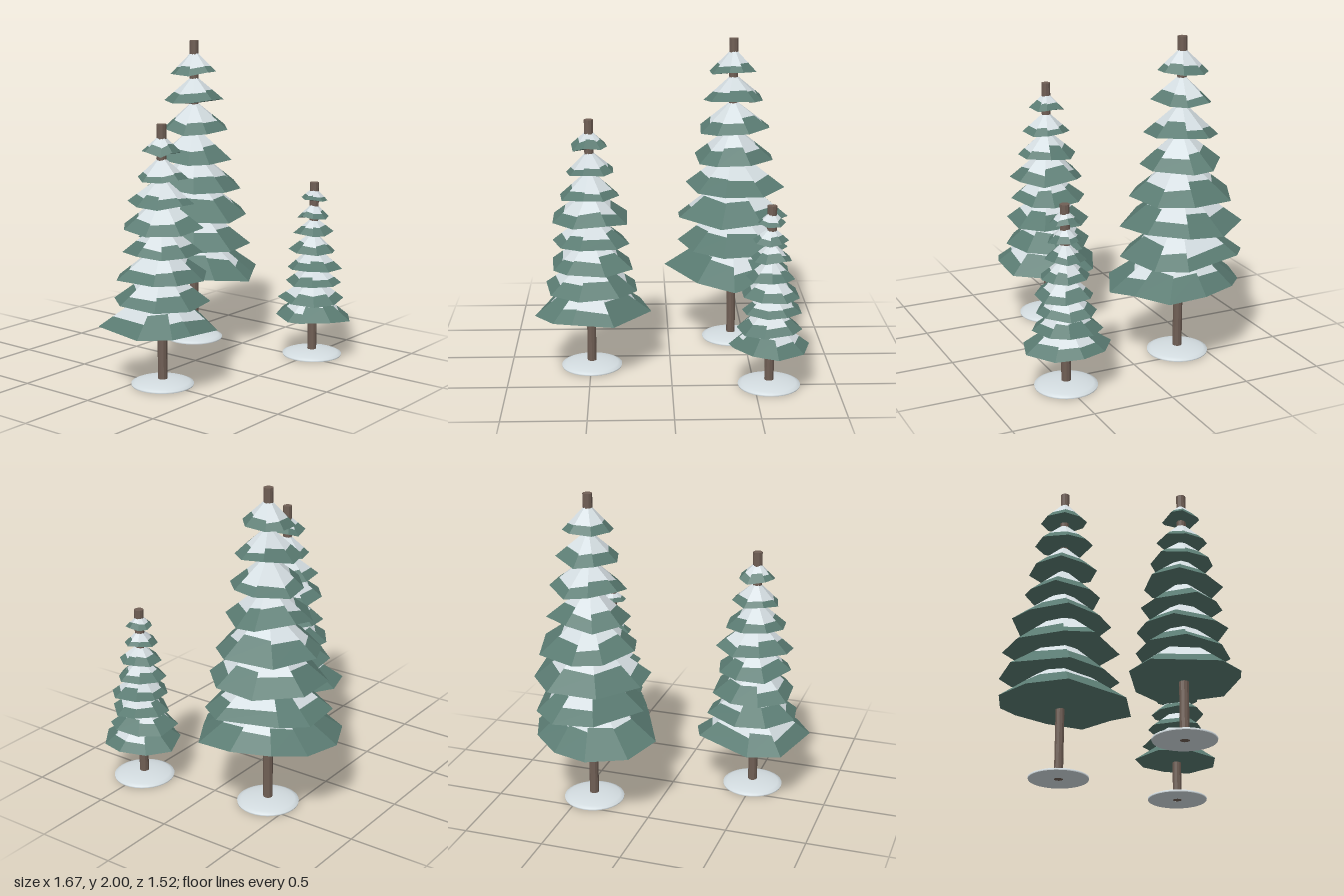
import * as THREE from 'three';

const needleGreen = new THREE.MeshStandardMaterial({ color: 0x5a7b72 });
const snowWhite = new THREE.MeshStandardMaterial({ color: 0xd3dce0 });
const barkBrown = new THREE.MeshStandardMaterial({ color: 0x705f55 });
needleGreen.name = 'needleGreen';
snowWhite.name = 'snowWhite';
barkBrown.name = 'barkBrown';

function seededRandom(seed) {
  let s = seed;
  return () => {
    s = (s * 16807) % 2147483647;
    return s / 2147483647;
  };
}

// Irregular octagon reaching about the given radius on each side
function makeOutline(radius, random) {
  const points = [];
  const turn = random() * 0.6;
  for (let i = 0; i < 8; i++) {
    const a = (i + turn + (random() - 0.5) * 0.4) * Math.PI / 4;
    const r = 0.9 + 0.1 * random();
    points.push(new THREE.Vector2(Math.cos(a) * r, Math.sin(a) * r));
  }
  const box = new THREE.Box2().setFromPoints(points);
  const reach = () => radius * (0.94 + 0.12 * random());
  const [left, right, front, back] = [reach(), reach(), reach(), reach()];
  return points.map(({ x, y }) => [
    x > 0 ? x * right / box.max.x : -x * left / box.min.x,
    y > 0 ? y * front / box.max.y : -y * back / box.min.y,
  ]);
}

function facetedMesh(name, corners, material) {
  const geometry = new THREE.BufferGeometry().setFromPoints(corners);
  geometry.computeVertexNormals();
  const mesh = new THREE.Mesh(geometry, material);
  mesh.name = name;
  return mesh;
}

// One tier of branches: snowy top, green lower band, green underside
function makeTier(outline, level, step, random) {
  const mean = outline.reduce((sum, [x, z]) => sum + Math.hypot(x, z), 0) / outline.length;
  const apex = new THREE.Vector3(0, level + mean * 0.65 + step * 0.34, 0);
  const under = new THREE.Vector3(0, level, 0);
  const rim = outline.map(([x, z]) => new THREE.Vector3(x, level + step * 0.2 * random(), z));
  const snow = [];
  const green = [];
  rim.forEach((p, i) => {
    const q = rim[(i + 1) % rim.length];
    const t = 0.55 + 0.24 * random();
    const pm = apex.clone().lerp(p, t);
    const qm = apex.clone().lerp(q, t + (random() - 0.5) * 0.08);
    snow.push(apex, qm, pm);
    green.push(pm, qm, q, pm, q, p, under, p, q);
  });
  const tier = new THREE.Group();
  tier.name = 'branchTier';
  tier.add(facetedMesh('branches', green, needleGreen), facetedMesh('branchSnow', snow, snowWhite));
  return tier;
}

// skirt: outline [x, z] of the lowest tier; radii: the tiers above it
function makeTree({ name, x, z, height, first, step, seed, skirt, radii }) {
  const random = seededRandom(seed * 7919);
  const tree = new THREE.Group();
  tree.name = name;
  tree.position.set(x, 0, z);

  // Trunk runs through to the top
  const trunk = new THREE.Mesh(
    new THREE.CylinderGeometry(0.029, 0.029, height, 10).toNonIndexed(), barkBrown);
  trunk.geometry.computeVertexNormals();
  trunk.position.y = height / 2;
  trunk.name = 'trunk';
  tree.add(trunk);

  // Low mound of snow around the foot
  const profile = [[0.188, 0], [0.19, 0.01], [0.165, 0.02], [0.12, 0.029], [0.07, 0.035], [0.02, 0.037]]
    .map(p => new THREE.Vector2(...p));
  const mound = new THREE.Mesh(new THREE.LatheGeometry(profile, 32), snowWhite);
  mound.name = 'snowMound';
  const base = new THREE.Mesh(new THREE.RingGeometry(0.028, 0.188, 32).rotateX(Math.PI / 2), snowWhite);
  base.name = 'snowMoundBase';
  tree.add(mound, base);

  // Branch tiers, lowest first
  const outlines = [skirt, ...radii.map(r => makeOutline(r, random))];
  outlines.forEach((outline, i) => tree.add(makeTier(outline, first + i * step, step, random)));
  return tree;
}

export function createModel() {
  const model = new THREE.Group();
  model.name = 'snowyTrees';
  model.add(makeTree({
    name: 'mediumTree', x: -0.495, z: 0.145, height: 1.58, first: 0.355, step: 0.149, seed: 7,
    skirt: [[0.375, 0], [0.145, 0.305], [-0.11, 0.31], [-0.225, 0.265], [-0.345, 0.1],
      [-0.25, -0.29], [-0.05, -0.35], [0.305, -0.19]],
    radii: [0.275, 0.252, 0.238, 0.23, 0.192, 0.147, 0.11],
  }));
  model.add(makeTree({
    name: 'tallTree', x: 0.415, z: -0.345, height: 2, first: 0.455, step: 0.189, seed: 23,
    skirt: [[0.37, 0.01], [0.36, 0.25], [0.15, 0.375], [-0.01, 0.465], [-0.24, 0.36],
      [-0.44, -0.07], [-0.345, -0.31], [-0.11, -0.42], [0.11, -0.36], [0.28, -0.22]],
    radii: [0.37, 0.345, 0.32, 0.25, 0.222, 0.193, 0.145],
  }));
  model.add(makeTree({
    name: 'smallTree', x: 0.59, z: 0.495, height: 1.13, first: 0.248, step: 0.109, seed: 41,
    skirt: [[0.24, -0.01], [0.19, 0.15], [0.03, 0.265], [-0.12, 0.22], [-0.22, 0.05],
      [-0.247, -0.02], [-0.15, -0.18], [0.05, -0.27], [0.18, -0.17]],
    radii: [0.2, 0.178, 0.16, 0.141, 0.115, 0.105, 0.08],
  }));
  return model;
}
